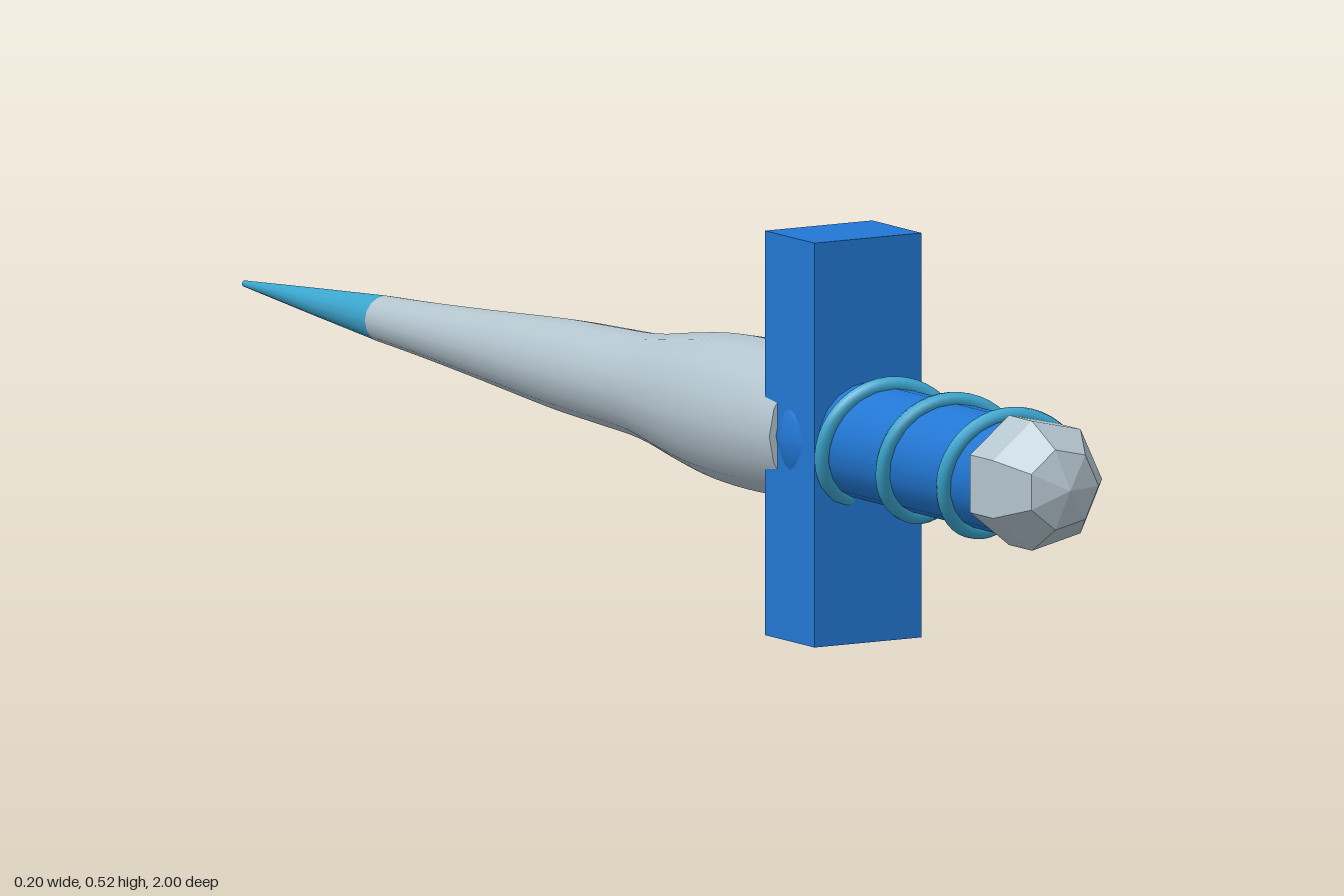
import * as THREE from 'three';

const AXIS_Y = 0.26;

export function createModel() {
  const group = new THREE.Group();
  const mat = (name, color) => new THREE.MeshStandardMaterial({ name, color });
  const blue = mat('blue', 0x2277d4);
  const grey = mat('paleGrey', 0xb4c5cf);
  const teal = mat('teal', 0x3ca6cf);
  const greyFlat = grey;

  const add = (name, geometry, material, z = 0) => {
    const mesh = new THREE.Mesh(geometry, material);
    mesh.name = name;
    mesh.position.set(0, AXIS_Y, z);
    group.add(mesh);
    return mesh;
  };
  // Turned shape along z from [radius, z] pairs
  const turned = (pairs) =>
    new THREE.LatheGeometry(pairs.map(([r, z]) => new THREE.Vector2(r, z)), 16).rotateX(Math.PI / 2);

  // Swelling blade, drawn as a smooth curve through a few stations
  const stations = [
    [0.03, -0.66], [0.036, -0.55], [0.046, -0.4], [0.059, -0.22], [0.064, -0.1],
    [0.069, 0], [0.084, 0.1], [0.094, 0.18], [0.098, 0.26], [0.097, 0.34], [0.092, 0.42],
  ];
  const curve = new THREE.SplineCurve(stations.map(([r, z]) => new THREE.Vector2(r, z)));
  add('blade', turned(curve.getPoints(40).map((p) => [p.x, p.y])), grey);
  add('bladeBase', new THREE.CircleGeometry(0.092, 16), grey, 0.42);
  add('bladeTip', turned([[0, -1], [0.004, -1], [0.018, -0.82], [0.03, -0.66]]), teal);

  // Upright guard with a round boss showing through its sides
  add('guard', new THREE.BoxGeometry(0.16, 0.52, 0.12), blue, 0.45);
  add('guardBoss', new THREE.SphereGeometry(0.09, 12, 8), blue, 0.45);

  // Grip
  add('grip', new THREE.CylinderGeometry(0.075, 0.075, 0.45, 20).rotateX(Math.PI / 2), blue, 0.675);

  // Cord wound around the grip
  const coil = [];
  const turns = 2.8;
  for (let i = 0; i <= 56; i++) {
    const t = (i / 56) * turns;
    const a = -Math.PI / 2 - t * Math.PI * 2;
    coil.push(new THREE.Vector3(0.08 * Math.cos(a), 0.08 * Math.sin(a), 0.494 + t * 0.147));
  }
  add('gripCord', new THREE.TubeGeometry(new THREE.CatmullRomCurve3(coil), 120, 0.01, 8), teal);

  // Faceted seven-sided pommel, pointing along z
  const pommel = new THREE.SphereGeometry(0.09, 7, 5).rotateX(Math.PI / 2).rotateZ(Math.PI).toNonIndexed();
  pommel.computeVertexNormals();
  add('pommel', pommel, greyFlat, 0.91);

  return group;
}
